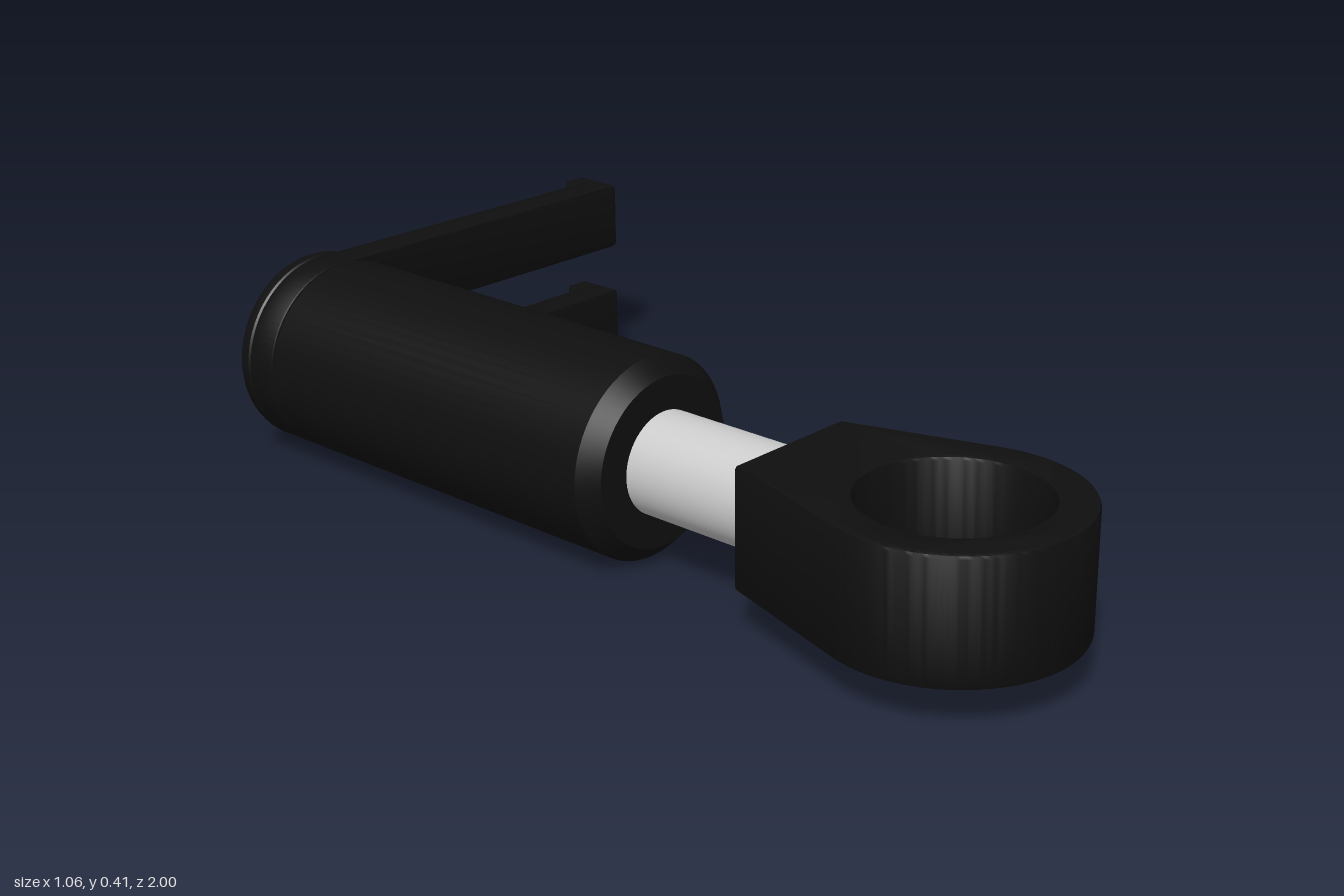
import * as THREE from 'three';
import { toCreasedNormals } from 'three/addons/utils/BufferGeometryUtils.js';

const AXIS_X = -0.286, AXIS_Y = 0.204, R = 0.203;
const SCREW_X = 0.022, SLOT = 0.054, TIP_X = 0.53;

export function createModel() {
  const model = new THREE.Group();
  const black = new THREE.MeshStandardMaterial({ color: 0x0f0f0f });
  const grey = new THREE.MeshStandardMaterial({ color: 0xcccccc });

  const add = (name, geometry, material, x = 0, y = 0, z = 0) => {
    const mesh = new THREE.Mesh(toCreasedNormals(geometry, 0.5), material);
    mesh.name = name;
    mesh.position.set(x, y, z);
    model.add(mesh);
    return mesh;
  };

  // Turned part along z; profile is [radius, z] from back to front
  const turned = (profile) => new THREE.LatheGeometry(
    profile.map(([r, z]) => new THREE.Vector2(r, z)), 64).rotateX(Math.PI / 2);

  // Extrusion whose bevel stays inside the outline and the depth
  const extrude = (shape, depth, bevel) => new THREE.ExtrudeGeometry(shape, {
    depth: depth - 2 * bevel, curveSegments: 48, bevelEnabled: bevel > 0,
    bevelThickness: bevel, bevelSize: bevel, bevelOffset: -bevel, bevelSegments: 2,
  }).translate(0, 0, bevel);

  // Main cylinder and sliding rod
  add('bodySleeve', turned([[0, -0.835], [0.195, -0.835], [R, -0.827], [R, 0.05],
    [0.17, 0.085], [0, 0.085]]), black, AXIS_X, AXIS_Y);
  add('slidingRod', turned([[0, 0.06], [0.103, 0.06], [0.103, 0.36], [0.07, 0.395],
    [0, 0.395]]), grey, AXIS_X, AXIS_Y);

  // Ring eye: circle joined to a flat neck by tangent lines
  const eyeZ = 0.753, eyeR = 0.245, neckHalf = 0.145, neckZ = 0.39;
  const run = eyeZ - neckZ;
  const tangent = Math.atan2(run, neckHalf) - Math.acos(eyeR / Math.hypot(run, neckHalf));
  const eye = new THREE.Shape();
  eye.moveTo(-neckHalf, -run);
  eye.lineTo(neckHalf, -run);
  eye.absarc(0, 0, eyeR, -tangent, Math.PI + tangent, false);
  eye.closePath();
  eye.holes.push(new THREE.Path().absarc(0, 0, 0.172, 0, Math.PI * 2, true));
  add('ringEye', extrude(eye, 0.242, 0.008).rotateX(Math.PI / 2), black, AXIS_X, 0.327, eyeZ);

  // Forked plate with a rounded slot end around the screw
  const c = 0.012, tip = TIP_X - AXIS_X, slotX = SCREW_X - AXIS_X;
  const fork = new THREE.Shape();
  fork.moveTo(0, -R);
  fork.lineTo(tip - c, -R);
  fork.lineTo(tip, -R + c);
  fork.lineTo(tip, -SLOT - c);
  fork.lineTo(tip - c, -SLOT);
  fork.lineTo(slotX, -SLOT);
  fork.absarc(slotX, 0, SLOT, -Math.PI / 2, Math.PI / 2, true);
  fork.lineTo(tip - c, SLOT);
  fork.lineTo(tip, SLOT + c);
  fork.lineTo(tip, R - c);
  fork.lineTo(tip - c, R);
  fork.lineTo(0, R);
  fork.absarc(0, 0, R, Math.PI / 2, Math.PI * 1.5, false);
  add('forkPlate', extrude(fork, 0.074, 0.005), black, AXIS_X, AXIS_Y, -0.907);

  // Round end cap behind the plate
  add('endCap', turned([[0, -0.944], [0.19, -0.944], [0.2, -0.938], [R, -0.928],
    [R, -0.912], [0.198, -0.905], [0, -0.905]]), black, AXIS_X, AXIS_Y);

  // Hooked prong tips, turned towards the back
  const hook = new THREE.Shape();
  [[0.46, -0.835], [0.46, -0.926], [0.478, -0.944], [TIP_X, -0.944], [TIP_X, -0.835]]
    .forEach(([x, z], i) => (i ? hook.lineTo(x, z) : hook.moveTo(x, z)));
  hook.closePath();
  for (const [name, top] of [['upperHook', AXIS_Y + R], ['lowerHook', AXIS_Y - SLOT]]) {
    add(name, extrude(hook, R - SLOT, 0.008).rotateX(Math.PI / 2), black, 0, top, 0);
  }

  // Clamping screw with a cross recess in its head
  add('screwShank', turned([[0, -1], [0.042, -1], [0.048, -0.994], [0.048, -0.824],
    [0, -0.824]]), grey, SCREW_X, AXIS_Y);
  const head = new THREE.Shape().absarc(0, 0, 0.06, 0, Math.PI * 2, false);
  const a = 0.038, b = 0.012;
  head.holes.push(new THREE.Path([[b, a], [b, b], [a, b], [a, -b], [b, -b], [b, -a],
    [-b, -a], [-b, -b], [-a, -b], [-a, b], [-b, b], [-b, a]]
    .map(([x, y]) => new THREE.Vector2(x, y))));
  add('screwHead', extrude(head, 0.03, 0.004), grey, SCREW_X, AXIS_Y, -0.836);

  return model;
}
